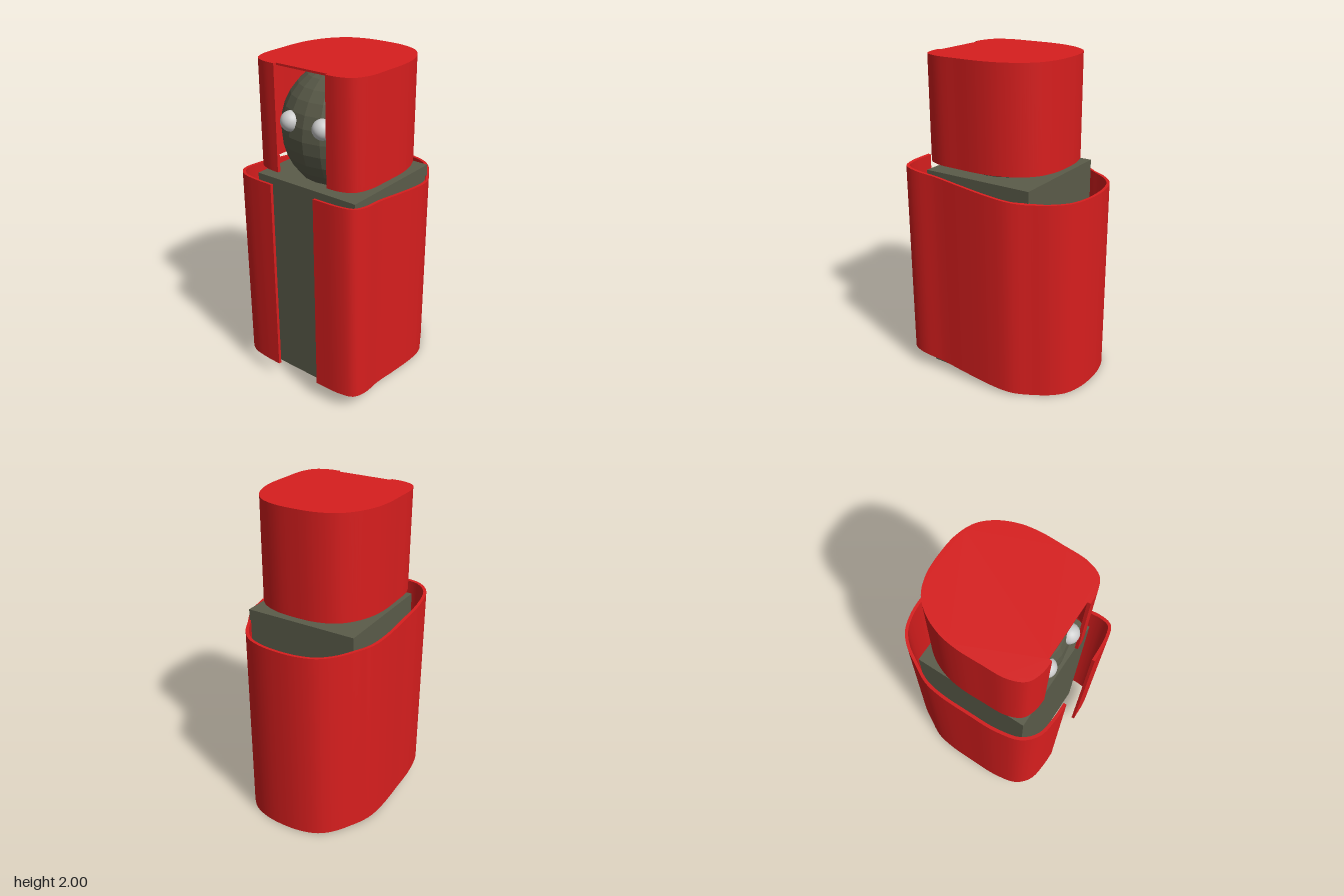
import * as THREE from 'three';
import { toCreasedNormals } from 'three/addons/utils/BufferGeometryUtils.js';

const red = new THREE.MeshStandardMaterial({ color: 0xd81e1e, side: THREE.DoubleSide });
const olive = new THREE.MeshStandardMaterial({ color: 0x5b5c4a });
const oliveFlat = new THREE.MeshStandardMaterial({ color: 0x5b5c4a, flatShading: true });
const grey = new THREE.MeshStandardMaterial({ color: 0xcccccc });

function add(group, name, geometry, material, x = 0, y = 0, z = 0) {
  const mesh = new THREE.Mesh(geometry, material);
  mesh.name = name;
  mesh.position.set(x, y, z);
  group.add(mesh);
  return mesh;
}

// Smooth open outline through [x, z] points
const outline = (points) =>
  new THREE.CatmullRomCurve3(points.map(([x, z]) => new THREE.Vector3(x, 0, z)), false, 'centripetal');

// Upright extrusion of a plan outline given as Vector2(x, -z)
function extrudeUp(plan, height) {
  const geometry = new THREE.ExtrudeGeometry(new THREE.Shape(plan), { depth: height, bevelEnabled: false });
  return geometry.rotateX(-Math.PI / 2);
}

// Thin cloth wall of constant thickness inside an outline
function clothWall(curve, thickness, height) {
  const n = 100, outer = [], inner = [];
  for (let i = 0; i <= n; i++) {
    const p = curve.getPointAt(i / n), t = curve.getTangentAt(i / n);
    outer.push(new THREE.Vector2(p.x, -p.z));
    inner.push(new THREE.Vector2(p.x - t.z * thickness, -(p.z + t.x * thickness)));
  }
  return extrudeUp([...outer, ...inner.reverse()], height);
}

export function createModel() {
  const model = new THREE.Group();
  model.name = 'hoodedFigure';

  // Block body
  add(model, 'body', new THREE.BoxGeometry(0.72, 1.31, 0.72), olive, 0.01, 0.655, 0.05);

  // Ovoid head and eyes
  const head = add(model, 'head', new THREE.SphereGeometry(1, 20, 16), oliveFlat, 0.01, 1.585, 0.06);
  head.scale.set(0.36, 0.385, 0.36);
  for (const [name, x] of [['rightEye', -0.105], ['leftEye', 0.125]])
    add(model, name, new THREE.SphereGeometry(0.06, 24, 16), grey, x, 1.675, 0.38);

  // Coat wrapped round the body, open in front and rising towards the front
  const coatCurve = outline([
    [-0.12, 0.55], [-0.23, 0.547], [-0.35, 0.525], [-0.43, 0.45], [-0.464, 0.3], [-0.464, 0.1],
    [-0.455, -0.1], [-0.43, -0.22], [-0.37, -0.33], [-0.31, -0.43], [-0.23, -0.505], [-0.12, -0.543],
    [0, -0.553], [0.12, -0.543], [0.23, -0.505], [0.31, -0.43], [0.37, -0.33], [0.43, -0.22],
    [0.45, -0.1], [0.454, 0.1], [0.452, 0.28], [0.463, 0.43], [0.44, 0.51], [0.36, 0.541], [0.19, 0.55],
  ]);
  const coat = clothWall(coatCurve, 0.019, 1.235);
  const pos = coat.attributes.position;
  for (let i = 0; i < pos.count; i++)
    pos.setY(i, pos.getY(i) + Math.max(0, pos.getZ(i) + 0.31) * 0.125);
  add(model, 'coat', toCreasedNormals(coat, 0.6), red);

  // Hood: mirrored wall with a front opening, closed by a flat crown
  const half = [
    [-0.17, 0.432], [-0.25, 0.425], [-0.325, 0.39], [-0.366, 0.3], [-0.374, 0.15], [-0.374, 0],
    [-0.355, -0.11], [-0.305, -0.22], [-0.23, -0.3], [-0.12, -0.343],
  ];
  const mirrored = half.map(([x, z]) => [0.02 - x, z]).reverse();
  const hoodCurve = outline([...half, [0.01, -0.353], ...mirrored]);
  const hood = new THREE.Group();
  hood.name = 'hood';
  model.add(hood);
  add(hood, 'hoodWall', toCreasedNormals(clothWall(hoodCurve, 0.019, 0.635), 0.6), red, 0, 1.365, 0);

  const crown = hoodCurve.getSpacedPoints(100).map((p) => new THREE.Vector2(p.x, -p.z));
  crown.push(new THREE.Vector2(0.19, -0.413), new THREE.Vector2(-0.17, -0.413));
  add(hood, 'hoodCrown', toCreasedNormals(extrudeUp(crown, 0.012), 0.6), red, 0, 1.988, 0);

  return model;
}
